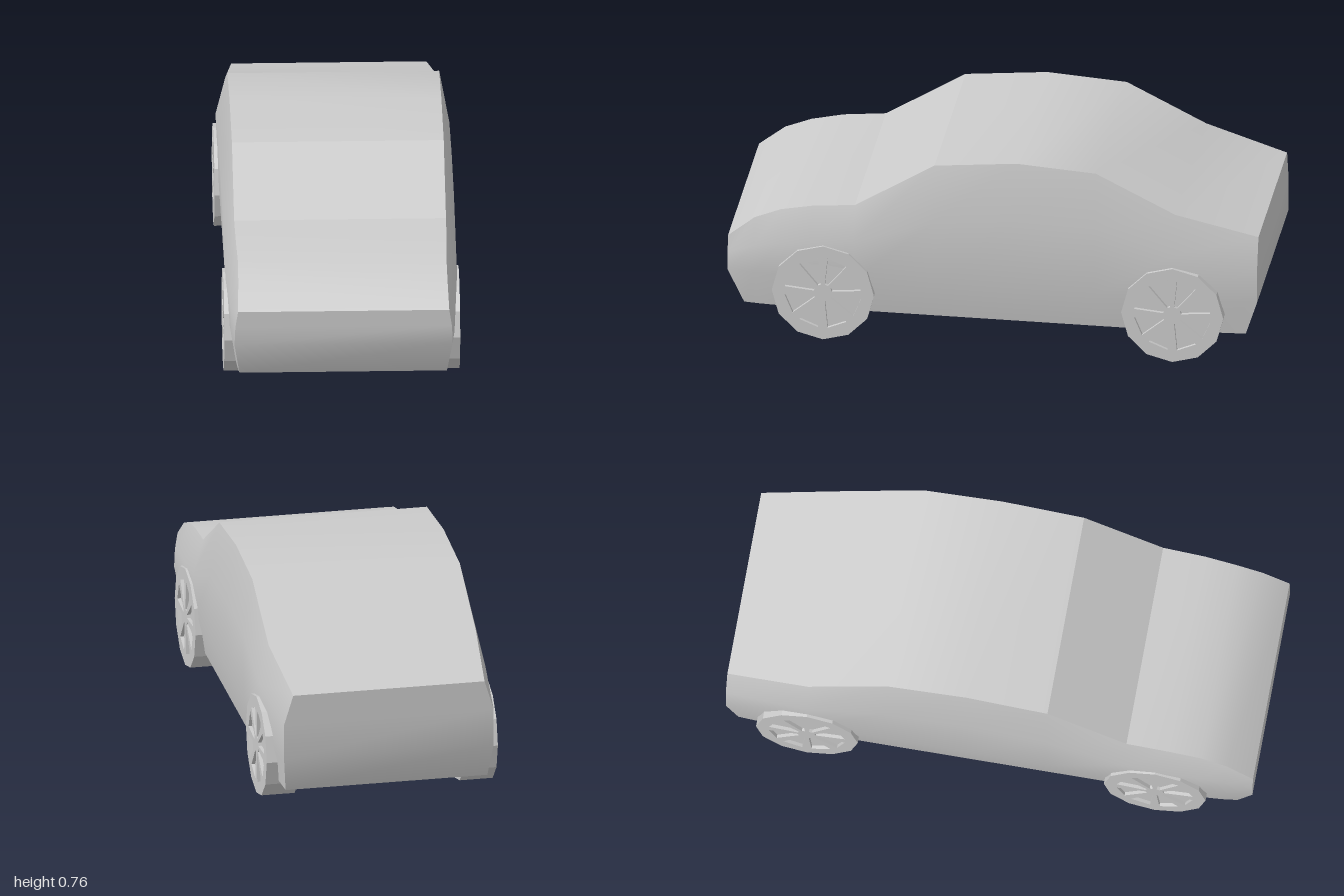
import * as THREE from 'three';
import { toCreasedNormals } from 'three/addons/utils/BufferGeometryUtils.js';

const material = new THREE.MeshStandardMaterial({ color: 0xcccccc });

// Sections from nose to tail: z, bottom z, top y, belt y, half-widths of sill, lower side, belt and top
const sections = [
  [1.0, 0.94, 0.385, 0.32, 0.388, 0.408, 0.405, 0.395],
  [0.9, 0.88, 0.465, 0.36, 0.395, 0.417, 0.419, 0.391],
  [0.8, 0.8, 0.505, 0.38, 0.4, 0.422, 0.427, 0.39],
  [0.68, 0.68, 0.53, 0.39, 0.4, 0.425, 0.433, 0.394],
  [0.52, 0.52, 0.545, 0.41, 0.4, 0.426, 0.434, 0.396],
  [0.22, 0.22, 0.73, 0.51, 0.4, 0.426, 0.434, 0.396],
  [-0.09, -0.09, 0.76, 0.54, 0.4, 0.426, 0.434, 0.396],
  [-0.39, -0.39, 0.74, 0.53, 0.4, 0.426, 0.434, 0.396],
  [-0.69, -0.69, 0.59, 0.44, 0.4, 0.425, 0.432, 0.395],
  [-1.0, -0.955, 0.505, 0.39, 0.385, 0.4, 0.4, 0.365],
];

// Body shell lofted through mirrored eight-point rings
function bodyGeometry() {
  const rings = sections.map(([z, zb, top, belt, w0, w1, w2, w3]) => {
    const side = [[w0, 0.11, zb], [w1, 0.25, z], [w2, belt, z], [w3, top, z]];
    return [...side, ...side.slice().reverse().map(([x, y, zz]) => [-x, y, zz])];
  });
  const positions = [];
  const quad = (a, b, c, d) => positions.push(...a, ...b, ...c, ...a, ...c, ...d);
  for (let j = 0; j < rings.length - 1; j++) {
    for (let i = 0; i < 8; i++) {
      const n = (i + 1) % 8;
      quad(rings[j][i], rings[j + 1][i], rings[j + 1][n], rings[j][n]);
    }
  }
  // Nose and tail panels
  const f = rings[0], r = rings[rings.length - 1];
  for (let k = 0; k < 3; k++) {
    quad(f[7 - k], f[k], f[k + 1], f[6 - k]);
    quad(r[k], r[7 - k], r[6 - k], r[k + 1]);
  }
  const g = new THREE.BufferGeometry();
  g.setAttribute('position', new THREE.Float32BufferAttribute(positions, 3));
  return toCreasedNormals(g, THREE.MathUtils.degToRad(25));
}

// Wheel disc outline with tapered windows between the spokes
function rimGeometry(radius, depth) {
  const polar = (r, a) => new THREE.Vector2(r * Math.sin(a), r * Math.cos(a));
  const shape = new THREE.Shape(
    Array.from({ length: 12 }, (_, i) => polar(radius, (-i * Math.PI) / 6)));
  for (let i = 0; i < 8; i++) {
    const a = ((i + 0.5) * Math.PI) / 4;
    shape.holes.push(new THREE.Path([
      polar(0.035, a - 0.18), polar(0.145, a - 0.27),
      polar(0.145, a + 0.27), polar(0.035, a + 0.18),
    ]));
  }
  return new THREE.ExtrudeGeometry(shape, { depth, bevelEnabled: false });
}

// Wheel whose outer face points along +z
function makeWheel(name) {
  const radius = 0.193, width = 0.126, recess = 0.013;
  const wheel = new THREE.Group();
  wheel.name = name;
  const core = new THREE.CylinderGeometry(radius, radius, width - recess, 12);
  core.rotateX(Math.PI / 2);
  core.translate(0, 0, (width - recess) / 2);
  const tyre = new THREE.Mesh(toCreasedNormals(core, 0.3), material);
  tyre.name = 'tyre';
  const rim = new THREE.Mesh(rimGeometry(radius, recess), material);
  rim.name = 'spokedRim';
  rim.position.z = width - recess;
  wheel.add(tyre, rim);
  return wheel;
}

export function createModel() {
  const car = new THREE.Group();
  car.name = 'car';
  const body = new THREE.Mesh(bodyGeometry(), material);
  body.name = 'body';
  car.add(body);

  // Four wheels, outer faces pointing outward
  for (const [end, z] of [['front', 0.635], ['rear', -0.685]]) {
    for (const [side, s] of [['Left', 1], ['Right', -1]]) {
      const wheel = makeWheel(end + side + 'Wheel');
      wheel.position.set(s * 0.315, 0.193, z);
      wheel.rotation.y = (s * Math.PI) / 2;
      car.add(wheel);
    }
  }
  return car;
}
